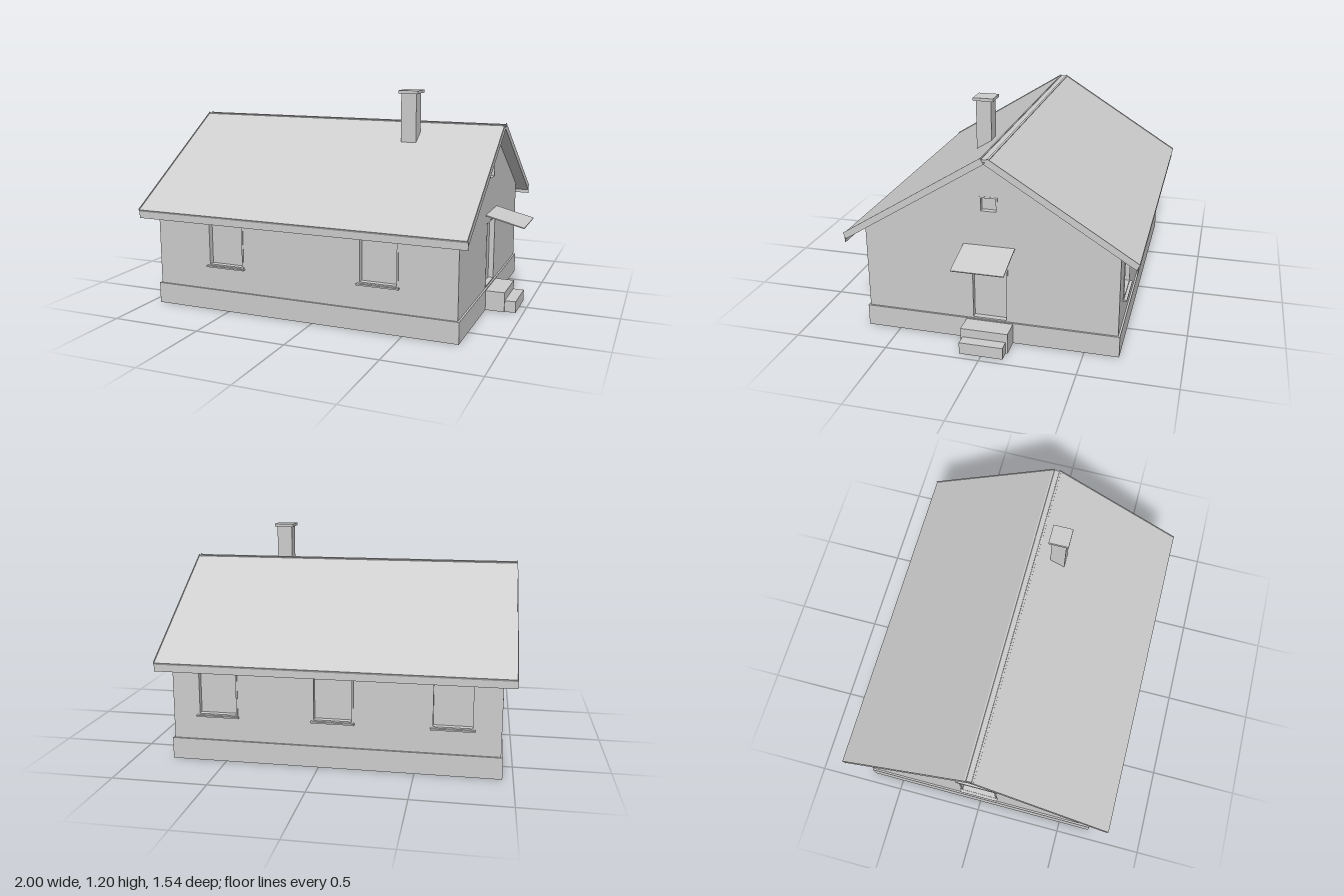
import * as THREE from 'three';

const plaster = new THREE.MeshStandardMaterial({ color: 0xcccccc, side: THREE.DoubleSide });
plaster.name = 'light grey';

const WALL = 0.01;     // wall thickness
const REVEAL = 0.03;   // depth of window and door recesses
const CX = -0.075;     // centre of the house body along x
const LENGTH = 1.72, WIDTH = 1.34, EAVE = 0.575, APEX = 0.99;

function add(parent, name, geometry, x = 0, y = 0, z = 0) {
  const mesh = new THREE.Mesh(geometry, plaster);
  mesh.name = name;
  mesh.position.set(x, y, z);
  parent.add(mesh);
  return mesh;
}

// Box given by its minimum and maximum corners
function box(parent, name, [x0, y0, z0], [x1, y1, z1]) {
  return add(parent, name, new THREE.BoxGeometry(x1 - x0, y1 - y0, z1 - z0),
    (x0 + x1) / 2, (y0 + y1) / 2, (z0 + z1) / 2);
}

const polygon = (points) => new THREE.Shape(points.map(([x, y]) => new THREE.Vector2(x, y)));
const rect = (x0, y0, x1, y1) => polygon([[x0, y0], [x1, y0], [x1, y1], [x0, y1]]);
const extrude = (shape, depth) => new THREE.ExtrudeGeometry(shape, { depth, bevelEnabled: false });

// Recessed opening: frame, panel and, for windows, a lintel and a sill
function opening(wall, { name, u, y0, y1, w, trim }) {
  const x0 = u - w / 2, x1 = u + w / 2, t = 0.008;
  const frame = rect(x0, y0, x1, y1);
  frame.holes.push(rect(x0 + t, y0 + t, x1 - t, y1 - t));
  add(wall, name + 'Frame', extrude(frame, REVEAL + (trim ? 0.004 : 0.001)), 0, 0, -REVEAL);
  box(wall, name + 'Panel', [x0, y0, -REVEAL - 0.004], [x1, y1, -REVEAL + 0.002]);
  if (trim) {
    box(wall, name + 'Lintel', [x0 - 0.012, y1, -0.004], [x1 + 0.012, y1 + 0.02, 0.014]);
    box(wall, name + 'Sill', [x0 - 0.006, y0 - 0.007, -REVEAL], [x1 + 0.006, y0 + 0.001, 0.02]);
  }
}

// Wall in its own frame: outer face at local z = 0, facing +z
function wall(parent, name, outline, openings, x, z, turn) {
  const group = new THREE.Group();
  group.name = name;
  group.position.set(x, 0, z);
  group.rotation.y = turn;
  const shape = polygon(outline);
  for (const o of openings) {
    shape.holes.push(rect(o.u - o.w / 2, o.y0, o.u + o.w / 2, o.y1));
    opening(group, o);
  }
  add(group, name + 'Face', extrude(shape, WALL), 0, 0, -WALL);
  parent.add(group);
}

const windowAt = (u) => ({ name: 'window', u, y0: 0.25, y1: 0.52, w: 0.215, trim: true });

// Both roof slopes, extruded along x; drop lowers the top face
function roofSlopes(parent, name, x0, x1, drop) {
  const k = 1 - drop / 0.035;
  for (const s of [1, -1]) {
    const shape = polygon([[0, APEX], [0.75 * s, 0.522],
      [(0.75 + 0.018 * k) * s, 0.522 + 0.03 * k], [0.018 * k * s, APEX + 0.03 * k]]);
    const geometry = extrude(shape, x1 - x0);
    geometry.rotateY(-Math.PI / 2);   // shape x to +z, depth to -x
    add(parent, name, geometry, x1, 0, 0);
  }
}

export function createModel() {
  const house = new THREE.Group();
  house.name = 'house';

  // Walls with their openings
  const half = LENGTH / 2 - WALL;
  const side = [[-half, 0], [half, 0], [half, EAVE], [-half, EAVE]];
  const g = WIDTH / 2;
  const gable = [[-g, 0], [g, 0], [g, EAVE], [0, APEX], [-g, EAVE]];
  const vent = { name: 'vent', u: 0, y0: 0.715, y1: 0.8, w: 0.095 };
  const door = { name: 'door', u: 0, y0: 0.115, y1: 0.485, w: 0.195 };
  wall(house, 'frontWall', side, [-0.438, 0.443].map(windowAt), CX, g, 0);
  wall(house, 'backWall', side, [-0.615, 0, 0.615].map(windowAt), CX, -g, Math.PI);
  wall(house, 'leftGable', gable, [door, vent], CX + LENGTH / 2, 0, Math.PI / 2);
  wall(house, 'rightGable', gable, [windowAt(0), vent], CX - LENGTH / 2, 0, -Math.PI / 2);
  box(house, 'ceiling', [-0.925, EAVE - 0.004, -0.66], [0.775, EAVE, 0.66]);

  // Plinth ring around the foot of the walls
  const ring = rect(-0.87, -0.68, 0.87, 0.68);
  ring.holes.push(rect(-0.86, -0.67, 0.86, 0.67));
  const plinth = extrude(ring, 0.115);
  plinth.rotateX(-Math.PI / 2);
  add(house, 'plinth', plinth, CX, 0, 0);

  // Roof, gable edge boards, ridge cap and eaves boards
  roofSlopes(house, 'roof', -0.996, 0.846, 0.005);
  roofSlopes(house, 'edgeBoard', -1, -0.996, 0);
  roofSlopes(house, 'edgeBoard', 0.846, 0.85, 0);
  box(house, 'ridgeCap', [-0.996, 1.0, -0.025], [0.846, 1.013, 0.025]);
  for (const s of [1, -1]) {
    add(house, 'eavesBoard', new THREE.BoxGeometry(1.85, 0.04, 0.004), CX, 0.521, 0.757 * s);
  }

  // Chimney
  box(house, 'chimney', [0.312, 0.87, 0.095], [0.398, 1.18, 0.177]);
  box(house, 'chimneyCap', [0.3, 1.18, 0.08], [0.411, 1.196, 0.19]);

  // Sloping canopy and steps at the door
  const canopy = extrude(polygon([[0.78, 0.531], [0.994, 0.478], [0.995, 0.483], [0.78, 0.537]]), 0.27);
  add(house, 'canopy', canopy, 0, 0, -0.135);
  box(house, 'upperStep', [0.79, 0, -0.125], [0.9, 0.11, 0.125]);
  box(house, 'lowerStep', [0.9, 0, -0.115], [0.96, 0.063, 0.115]);

  return house;
}
